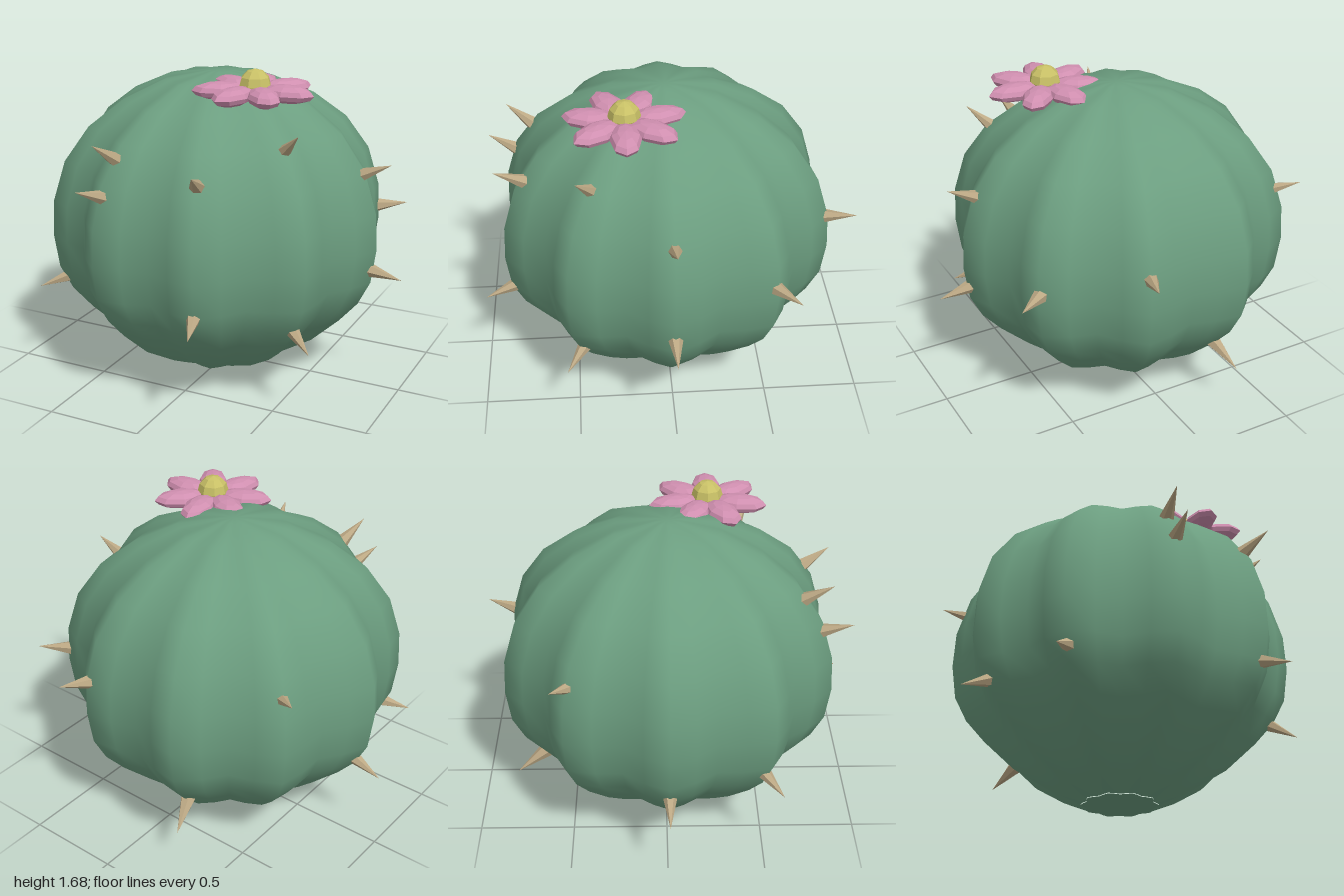
import * as THREE from 'three';
import { mergeVertices } from 'three/addons/utils/BufferGeometryUtils.js';

const RIBS = 10;
const CENTRE = new THREE.Vector3(-0.04, 0.8, 0.01);

// Push vertices in and out around the y axis to form the ribs
function addRibs(geometry) {
  const p = geometry.attributes.position;
  for (let i = 0; i < p.count; i++) {
    const x = p.getX(i), z = p.getZ(i);
    const k = 1 + 0.063 * Math.cos(RIBS * Math.atan2(z, x));
    p.setX(i, x * k);
    p.setZ(i, z * k);
  }
  geometry.deleteAttribute('uv');
  geometry.deleteAttribute('normal');
  const merged = mergeVertices(geometry, 1e-4);
  merged.computeVertexNormals();
  return merged;
}

function material(name, color, flat = false) {
  const m = new THREE.MeshStandardMaterial({ color, flatShading: flat });
  m.name = name;
  return m;
}

export function createModel() {
  const model = new THREE.Group();
  model.name = 'cactus';
  const green = material('cactusGreen', 0x6c9e80);
  const tan = material('spineTan', 0xbca884, true);
  const pink = material('petalPink', 0xd08fb0, true);
  const yellow = material('flowerYellow', 0xc8c066, true);

  const add = (parent, name, geometry, mat) => {
    const mesh = new THREE.Mesh(geometry, mat);
    mesh.name = name;
    parent.add(mesh);
    return mesh;
  };

  // Ribbed body
  const profile = [
    [0.2, 0.004], [0.355, 0.075], [0.545, 0.19], [0.7, 0.335], [0.8, 0.45],
    [0.865, 0.58], [0.89, 0.76], [0.88, 0.95], [0.815, 1.16], [0.685, 1.34],
    [0.505, 1.475], [0.285, 1.575], [0.07, 1.61], [0, 1.612],
  ].map(([r, y]) => new THREE.Vector2(r / 1.063, y));
  const body = add(model, 'body', addRibs(new THREE.LatheGeometry(profile, 40)), green);
  body.position.set(CENTRE.x, 0, CENTRE.z);

  // Flat underside
  const disc = new THREE.CircleGeometry(0.2 / 1.063, 40).rotateX(Math.PI / 2);
  const base = add(model, 'base', addRibs(disc), green);
  base.position.set(CENTRE.x, 0, CENTRE.z);

  // Spines, given by their tips and pointing away from the body centre
  const tips = [
    [0.91, 1.22, 0.01], [0.99, 0.62, 0.01], [0.6, 1.44, 0.47], [-0.31, 1.375, 0.83],
    [-0.34, 1.17, 0.94], [0.25, 1.3, 0.88], [0.27, 0.535, 0.97], [0.71, 0.375, 0.55],
    [-0.83, 0.47, 0.58], [-0.99, 0.415, 0.01], [-0.82, 1.1, -0.56], [0.81, 0.83, -0.61],
    [0.28, 0.975, -0.97], [-0.31, 0.24, -0.8],
  ];
  const spines = new THREE.Group();
  spines.name = 'spines';
  model.add(spines);
  const cone = new THREE.ConeGeometry(0.042, 0.2, 6).translate(0, -0.1, 0);
  const up = new THREE.Vector3(0, 1, 0);
  for (const t of tips) {
    const spine = add(spines, 'spine', cone, tan);
    spine.position.set(...t);
    spine.quaternion.setFromUnitVectors(up, spine.position.clone().sub(CENTRE).normalize());
  }

  // Flower on top
  const flower = new THREE.Group();
  flower.name = 'flower';
  flower.position.set(0.26, 1.575, 0.22);
  model.add(flower);
  const petal = new THREE.SphereGeometry(1, 8, 6).scale(0.145, 0.045, 0.078).translate(0.168, 0, 0);
  for (let i = 0; i < 7; i++) {
    add(flower, 'petal', petal, pink).rotation.y = (i / 7) * Math.PI * 2;
  }
  add(flower, 'flowerCentre', new THREE.SphereGeometry(0.082, 8, 6), yellow).position.y = 0.028;

  return model;
}
